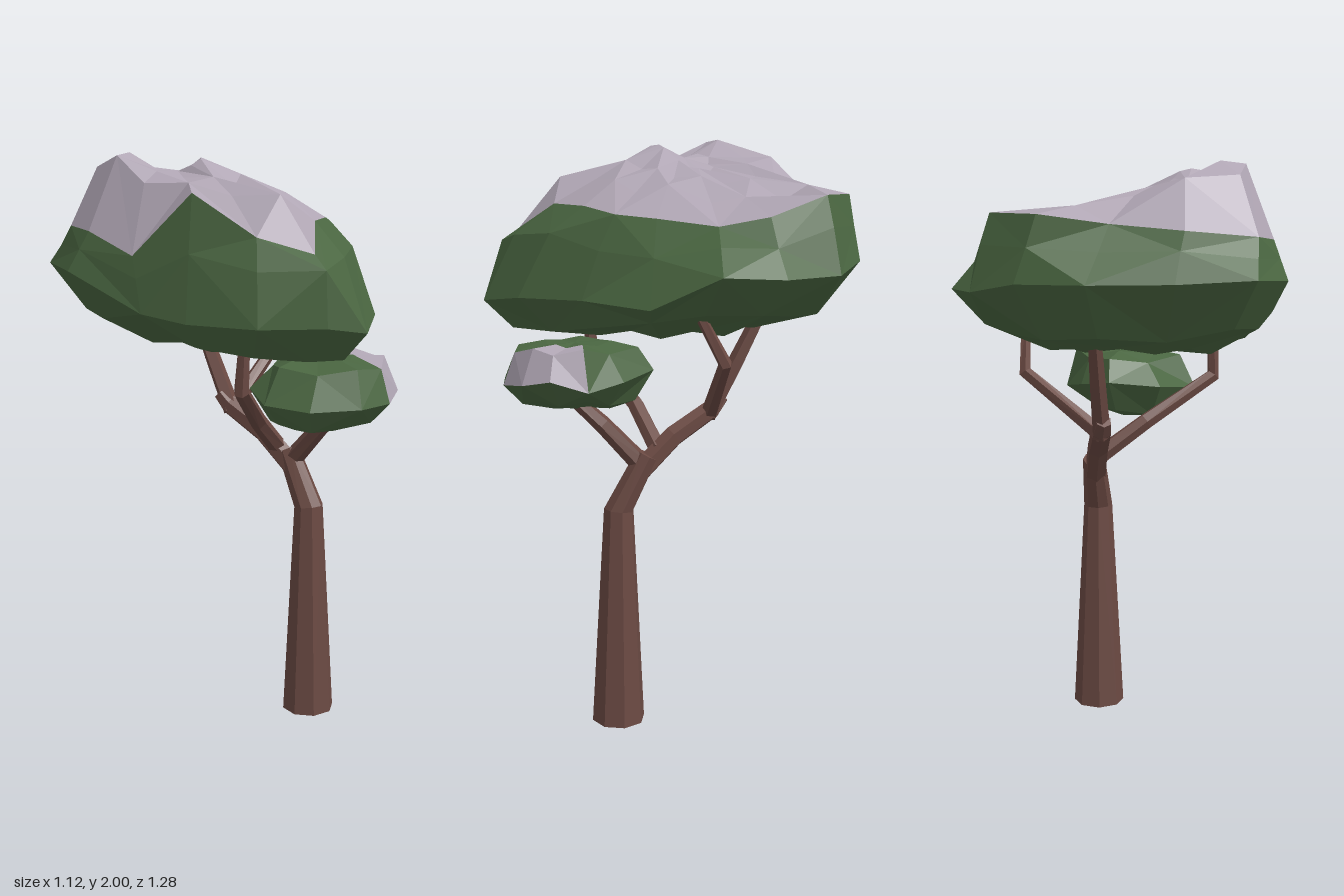
import * as THREE from 'three';

const mat = (name, color) => {
  const m = new THREE.MeshStandardMaterial({ color, flatShading: true });
  m.name = name;
  return m;
};
const V = (x, y, z) => new THREE.Vector3(x, y, z);
const mean = (pts) => pts.reduce((s, p) => s.add(p), V(0, 0, 0)).divideScalar(pts.length);

// Skin a stack of rings (each clockwise seen from above, bottom to top), capped at both
// ends. faceGroup(centroid, level) picks the material of each face.
function loft(rings, faceGroup = () => 0) {
  const n = rings[0].length;
  const all = [Array(n).fill(mean(rings[0])), ...rings, Array(n).fill(mean(rings[rings.length - 1]))];
  const buckets = [[], []];
  const tri = (a, b, c, level) => {
    if (a === b || b === c || a === c) return;
    const g = faceGroup(mean([a, b, c]), level);
    for (const p of [a, b, c]) buckets[g].push(p.x, p.y, p.z);
  };
  for (let k = 0; k + 1 < all.length; k++) {
    for (let i = 0; i < n; i++) {
      const j = (i + 1) % n;
      const [a, b, c, d] = [all[k][i], all[k][j], all[k + 1][j], all[k + 1][i]];
      // alternate the diagonals for an irregular faceted look
      if ((i + k) % 2) { tri(a, d, c, k); tri(a, c, b, k); }
      else { tri(a, d, b, k); tri(b, d, c, k); }
    }
  }
  const geo = new THREE.BufferGeometry();
  geo.setAttribute('position', new THREE.Float32BufferAttribute([...buckets[0], ...buckets[1]], 3));
  geo.addGroup(0, buckets[0].length / 3, 0);
  if (buckets[1].length) geo.addGroup(buckets[0].length / 3, buckets[1].length / 3, 1);
  geo.computeVertexNormals();
  return geo;
}

// Tapered limb along a path of [x, y, z, radius]
function limb(path, sides) {
  const pts = path.map((p) => V(p[0], p[1], p[2]));
  const up = V(0, 1, 0);
  return loft(pts.map((p, k) => {
    const t = pts[Math.min(k + 1, pts.length - 1)].clone().sub(pts[Math.max(k - 1, 0)]).normalize();
    const q = new THREE.Quaternion().setFromUnitVectors(up, t);
    return Array.from({ length: sides }, (_, i) => {
      const a = ((i + 0.5) / sides) * Math.PI * 2;
      return V(Math.sin(a), 0, -Math.cos(a)).multiplyScalar(path[k][3]).applyQuaternion(q).add(p);
    });
  }));
}

// Scaled, slightly uneven copy of a ring, with its height given by yAt(x, z)
const jitter = (i, k) => Math.sin(i * 2.4 + k * 1.7);
const shrink = (ring, cx, cz, s, yAt, k) => ring.map((p, i) => {
  const f = s * (1 + 0.05 * jitter(i, k));
  const x = cx + (p.x - cx) * f, z = cz + (p.z - cz) * f;
  return V(x, yAt(x, z) + 0.01 * jitter(i * 1.3, k), z);
});

export function createModel() {
  const bark = mat('bark', 0x6b4a43);
  const leaf = mat('leaf green', 0x4a6641);
  const snow = mat('snow', 0xb0a6b4);
  const tree = new THREE.Group();
  tree.name = 'tree';
  const add = (name, geo, material) => {
    const m = new THREE.Mesh(geo, material);
    m.name = name;
    tree.add(m);
  };

  // Trunk and branches
  const limbs = {
    trunk: [8, [0.222, 0, 0.157, 0.093], [0.218, 0.77, 0.15, 0.052], [0.195, 0.96, 0.055, 0.04]],
    clumpBranch: [6, [0.195, 0.91, 0.06, 0.036], [0.235, 1.07, 0.2, 0.03], [0.25, 1.2, 0.34, 0.022]],
    backBranch: [6, [0.2, 0.9, 0.08, 0.04], [0.145, 1.015, -0.03, 0.038], [0.08, 1.1, -0.155, 0.035], [0.06, 1.14, -0.185, 0.028]],
    frontBranch: [6, [0.17, 0.97, 0.02, 0.033], [0.02, 1.095, 0.12, 0.03], [-0.175, 1.25, 0.31, 0.026], [-0.17, 1.42, 0.32, 0.02]],
    upperBranchRight: [5, [0.08, 1.08, -0.145, 0.029], [0.335, 1.3, -0.22, 0.023], [0.37, 1.48, -0.13, 0.017]],
    upperBranchBack: [5, [0.085, 1.08, -0.145, 0.033], [0.06, 1.27, -0.24, 0.029], [0.03, 1.5, -0.35, 0.022]],
  };
  for (const [name, [sides, ...path]] of Object.entries(limbs)) add(name, limb(path, sides), bark);

  // Large crown: widest outline and snow line, both clockwise from the back
  const rim = [
    [-0.06, 1.62, -0.63], [0.17, 1.62, -0.64], [0.35, 1.59, -0.58], [0.5, 1.59, -0.42],
    [0.56, 1.6, -0.23], [0.5, 1.49, 0], [0.36, 1.5, 0.24], [0.23, 1.49, 0.48],
    [0.07, 1.46, 0.64], [-0.06, 1.48, 0.61], [-0.25, 1.48, 0.51], [-0.37, 1.48, 0.29],
    [-0.44, 1.5, 0.13], [-0.56, 1.62, -0.14], [-0.52, 1.63, -0.36], [-0.3, 1.62, -0.5],
  ].map((p) => V(...p));
  const snowLine = [
    [-0.08, 1.8, -0.48], [0.11, 1.83, -0.6], [0.3, 1.835, -0.53], [0.375, 1.77, -0.36],
    [0.39, 1.74, -0.2], [0.34, 1.76, 0], [0.3, 1.77, 0.14], [0.19, 1.79, 0.26],
    [0.05, 1.79, 0.39], [-0.06, 1.7, 0.54], [-0.2, 1.75, 0.43], [-0.32, 1.88, 0.25],
    [-0.44, 1.68, 0.08], [-0.5, 1.75, -0.1], [-0.49, 1.76, -0.25], [-0.31, 1.78, -0.44],
  ].map((p) => V(...p));
  // foliage between the two swells towards the front right
  const shoulder = rim.map((p, i) => {
    const m = p.clone().lerp(snowLine[i], 0.55);
    const f = Math.max(0, m.z) * (m.x > -0.1 ? 1 : 0.25);
    return V(m.x * (1 + 0.12 * f), m.y + 0.1 * f + 0.012 * jitter(i, 2), m.z * (1 + 0.1 * f));
  });
  // snow slopes away to the right and carries two peaks and a low ridge on the left
  const peak = (x, z, px, pz, h, w) => h * Math.exp(-((x - px) ** 2 + (z - pz) ** 2) / (w * w));
  const snowTop = (x, z) => Math.min(1.99, 1.905 - 0.3 * Math.max(0, x) - 0.1 * Math.abs(z)
    + peak(x, z, -0.36, -0.14, 0.11, 0.13) + peak(x, z, -0.15, 0.09, 0.095, 0.1)
    + peak(x, z, -0.22, -0.32, 0.06, 0.12));
  const underside = (x, z) => 1.405 - 0.08 * z + 0.25 * Math.max(0, Math.abs(x) - 0.25);
  add('crown', loft([
    shrink(rim, 0, 0, 0.48, (x, z) => 1.375 - 0.06 * z, 1),
    shrink(rim, 0, 0.06, 0.8, underside, 4),
    rim, shoulder, snowLine,
    shrink(snowLine, -0.18, -0.05, 0.72, snowTop, 3),
    shrink(snowLine, -0.2, -0.04, 0.46, snowTop, 5),
    shrink(snowLine, -0.22, -0.02, 0.2, snowTop, 2),
  ], (c, level) => (level >= 5 ? 1 : 0)), [leaf, snow]);

  // Small lower leaf clump with a snow patch on its outer corner
  const clumpRim = [
    [0.13, 1.24, 0.04], [0.27, 1.22, 0.12], [0.37, 1.2, 0.22], [0.4, 1.24, 0.34], [0.37, 1.22, 0.44],
    [0.26, 1.2, 0.53], [0.12, 1.2, 0.56], [-0.02, 1.19, 0.47], [-0.1, 1.2, 0.33], [-0.03, 1.22, 0.14],
  ].map((p) => V(...p));
  const clumpBase = (x) => 1.1 + 0.15 * Math.max(0, x - 0.1);
  add('lowerLeafClump', loft([
    shrink(clumpRim, 0.13, 0.3, 0.42, clumpBase, 2),
    shrink(clumpRim, 0.13, 0.3, 0.72, (x) => clumpBase(x) + 0.02, 5),
    clumpRim,
    shrink(clumpRim, 0.22, 0.32, 0.78, (x) => 1.31 + 0.1 * Math.max(0, x - 0.15), 1),
    shrink(clumpRim, 0.16, 0.29, 0.42, () => 1.335, 4),
  ], (c, level) => (level >= 3 && c.x > 0.27 && c.z > 0.25 ? 1 : 0)), [leaf, snow]);

  return tree;
}
